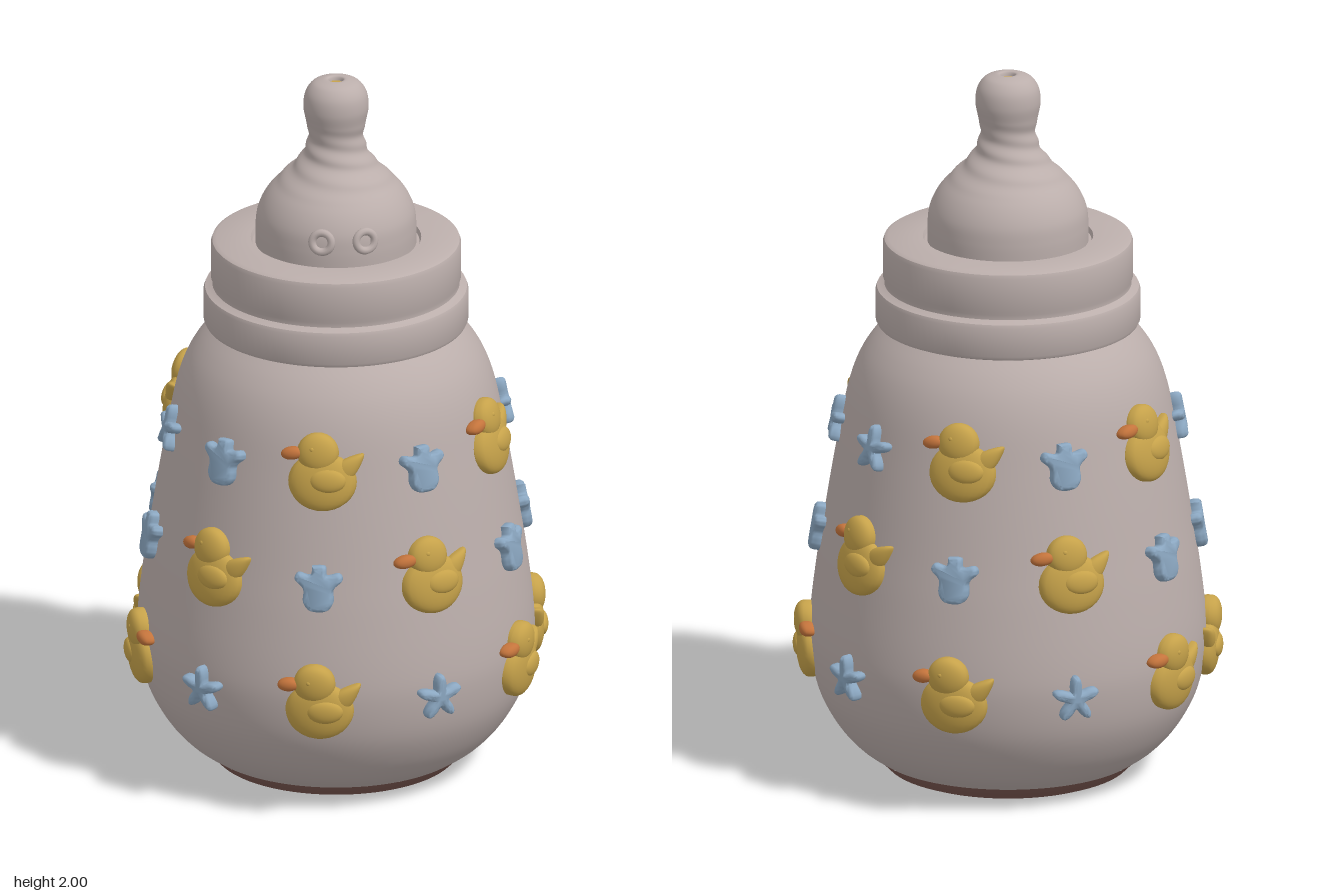
import * as THREE from 'three';
import { mergeVertices, toCreasedNormals } from 'three/addons/utils/BufferGeometryUtils.js';

const paint = (name, color) => {
  const m = new THREE.MeshStandardMaterial({ color });
  m.name = name;
  return m;
};
const V = (list) => list.map(([x, y]) => new THREE.Vector2(x, y));
const smooth = (list, n) => new THREE.SplineCurve(V(list)).getPoints(n);

// Bends a flat decoration around the bottle
function bend(geo, radius = 0.5) {
  const p = geo.attributes.position;
  for (let i = 0; i < p.count; i++) p.setZ(i, p.getZ(i) - p.getX(i) ** 2 / (2 * radius));
  geo.computeVertexNormals();
  return geo;
}

// Plump flattened pillow: an ellipsoid with a fuller rim
function pillow(x, y, z, rx, ry, rz, turn = 0, taper = 0) {
  const geo = new THREE.SphereGeometry(1, 24, 16);
  const p = geo.attributes.position;
  for (let i = 0; i < p.count; i++) {
    const px = p.getX(i), pz = p.getZ(i);
    p.setXYZ(i, px * rx, p.getY(i) * ry * (1 - taper * px), Math.sign(pz) * Math.abs(pz) ** 0.7 * rz);
  }
  return bend(geo.rotateZ(turn).translate(x, y, z));
}

function starGeometry(shape) {
  const geo = new THREE.ExtrudeGeometry(shape, {
    depth: 0.014, bevelEnabled: true, bevelThickness: 0.014, bevelSize: 0.012, bevelOffset: -0.012, bevelSegments: 3,
  });
  return toCreasedNormals(bend(geo), 1);
}

export function createModel() {
  const root = new THREE.Group();
  root.name = 'babyBottle';
  const shell = paint('warm grey', 0xbbaeab);
  const yellow = paint('duck yellow', 0xc6a24a);
  const blue = paint('star blue', 0x8ca8c2);
  const orange = paint('beak orange', 0xc4743c);
  const brown = paint('base brown', 0x7a5750);
  const add = (name, geo, mat, parent = root) => {
    const mesh = new THREE.Mesh(geo, mat);
    mesh.name = name;
    parent.add(mesh);
    return mesh;
  };

  // Bottle and base
  const wall = smooth([[0.37, 0.045], [0.425, 0.085], [0.48, 0.15], [0.525, 0.24], [0.546, 0.35], [0.545, 0.45],
    [0.527, 0.6], [0.508, 0.72], [0.487, 0.85], [0.464, 0.98], [0.44, 1.1], [0.412, 1.18], [0.375, 1.24], [0.33, 1.29]], 60);
  add('bottle', new THREE.LatheGeometry(wall, 96), shell);
  add('base', toCreasedNormals(new THREE.LatheGeometry(V([[0, 0], [0.31, 0], [0.335, 0.01], [0.37, 0.045]]), 72), 0.6), brown);
  const radiusAt = (y) => {
    const i = wall.findIndex((q) => q.y >= y);
    const a = wall[i - 1], b = wall[i];
    return a.x + (b.x - a.x) * (y - a.y) / (b.y - a.y);
  };

  // Screw collar with a wider lower ring
  add('collar', toCreasedNormals(new THREE.LatheGeometry(V([[0.3, 1.283], [0.35, 1.283], [0.36, 1.287], [0.365, 1.297],
    [0.365, 1.378], [0.361, 1.388], [0.35, 1.392], [0.341, 1.397], [0.341, 1.41], [0.345, 1.42], [0.345, 1.515],
    [0.341, 1.526], [0.33, 1.532], [0.235, 1.532], [0.23, 1.52], [0.2, 1.52]]), 96), 0.7), shell);

  // Teat with spiral ridges round its neck
  const teat = new THREE.LatheGeometry(smooth([[0.222, 1.52], [0.222, 1.57], [0.215, 1.62], [0.19, 1.67], [0.145, 1.72],
    [0.103, 1.765], [0.083, 1.805], [0.076, 1.84], [0.083, 1.88], [0.09, 1.92], [0.085, 1.96], [0.066, 1.988],
    [0.04, 1.999], [0.023, 1.999], [0.018, 1.985]], 110), 72);
  const tp = teat.attributes.position;
  for (let i = 0; i < tp.count; i++) {
    const x = tp.getX(i), y = tp.getY(i), z = tp.getZ(i);
    const fade = Math.max(0, 1 - ((y - 1.785) / 0.095) ** 2);
    const k = 1 + 0.03 * fade * Math.sin(2 * Math.atan2(x, z) + y * 130);
    tp.setXYZ(i, x * k, y, z * k);
  }
  teat.deleteAttribute('uv');
  teat.deleteAttribute('normal');
  const teatWelded = mergeVertices(teat, 1e-5);
  teatWelded.computeVertexNormals();
  add('teat', teatWelded, shell);
  add('teatHole', new THREE.CircleGeometry(0.02, 20).rotateX(-Math.PI / 2).translate(0, 1.988, 0), yellow);

  // Air valves
  for (const deg of [31, 63]) {
    const a = THREE.MathUtils.degToRad(deg);
    const valve = add('airValve', new THREE.TorusGeometry(0.027, 0.011, 10, 28), shell);
    valve.position.set(0.219 * Math.sin(a), 1.6, 0.219 * Math.cos(a));
    valve.rotation.set(-0.15, a, 0, 'YXZ');
  }

  // Duck parts, beak towards -x when s is 1
  const duckParts = (s) => [
    ['duckBody', pillow(0.005 * s, -0.027, 0, 0.095, 0.082, 0.038), yellow],
    ['duckHead', pillow(-0.008 * s, 0.055, 0.004, 0.058, 0.056, 0.037), yellow],
    ['duckTail', pillow(0.08 * s, 0.018, 0.004, 0.052, 0.026, 0.024, s > 0 ? 0.75 : Math.PI - 0.75, 0.5), yellow],
    ['duckWing', pillow(0.022 * s, -0.02, 0.024, 0.052, 0.034, 0.023), yellow],
    ['duckEye', pillow(-0.022 * s, 0.068, 0.032, 0.008, 0.008, 0.009), yellow],
    ['duckBeak', pillow(-0.079 * s, 0.052, 0.012, 0.032, 0.018, 0.022, s * 0.15), orange],
  ];
  const ducks = { D: duckParts(1), M: duckParts(-1) };

  // Two star outlines: five-pointed, and one with a narrow top and round foot
  const points = [];
  for (let i = 0; i < 60; i++) {
    const a = (i / 60) * Math.PI * 2, r = 0.047 + 0.021 * Math.cos(5 * a);
    points.push(new THREE.Vector2(-r * Math.sin(a), r * Math.cos(a)));
  }
  const half = [[0.018, 0.062], [0.023, 0.036], [0.056, 0.042], [0.066, 0.022], [0.042, -0.004], [0.042, -0.04], [0.022, -0.065]];
  const mirrored = half.map(([x, y]) => [-x, y]);
  const outline = smooth([...mirrored, ...half.slice().reverse(), mirrored[0]], 56).slice(0, -1);
  const stars = { S: starGeometry(new THREE.Shape(points)), B: starGeometry(new THREE.Shape(outline)) };

  // Three rows of ten decorations; each half-turn repeats (D duck, M mirrored duck, S and B stars)
  const rows = [
    { y: 0.37, first: 'SDSDM', second: 'SDSDM' },
    { y: 0.705, first: 'DBDBB', second: 'DBDBB' },
    { y: 1.015, first: 'BDBDS', second: 'SDBDS' },
  ];
  rows.forEach(({ y, first, second }) => [...first + second].forEach((kind, i) => {
    const g = new THREE.Group();
    const angle = (i * Math.PI) / 5;
    const r = radiusAt(y);
    const slope = Math.atan((radiusAt(y + 0.05) - radiusAt(y - 0.05)) / 0.1);
    g.position.set(r * Math.sin(angle), y, r * Math.cos(angle));
    g.rotation.set(slope, angle, 0, 'YXZ');
    if (ducks[kind]) {
      g.name = 'duck';
      for (const [name, geo, mat] of ducks[kind]) add(name, geo, mat, g);
    } else {
      g.name = 'star';
      g.position.y -= 0.01;
      add('starShape', stars[kind], blue, g).position.z = 0.004;
    }
    root.add(g);
  }));
  return root;
}
